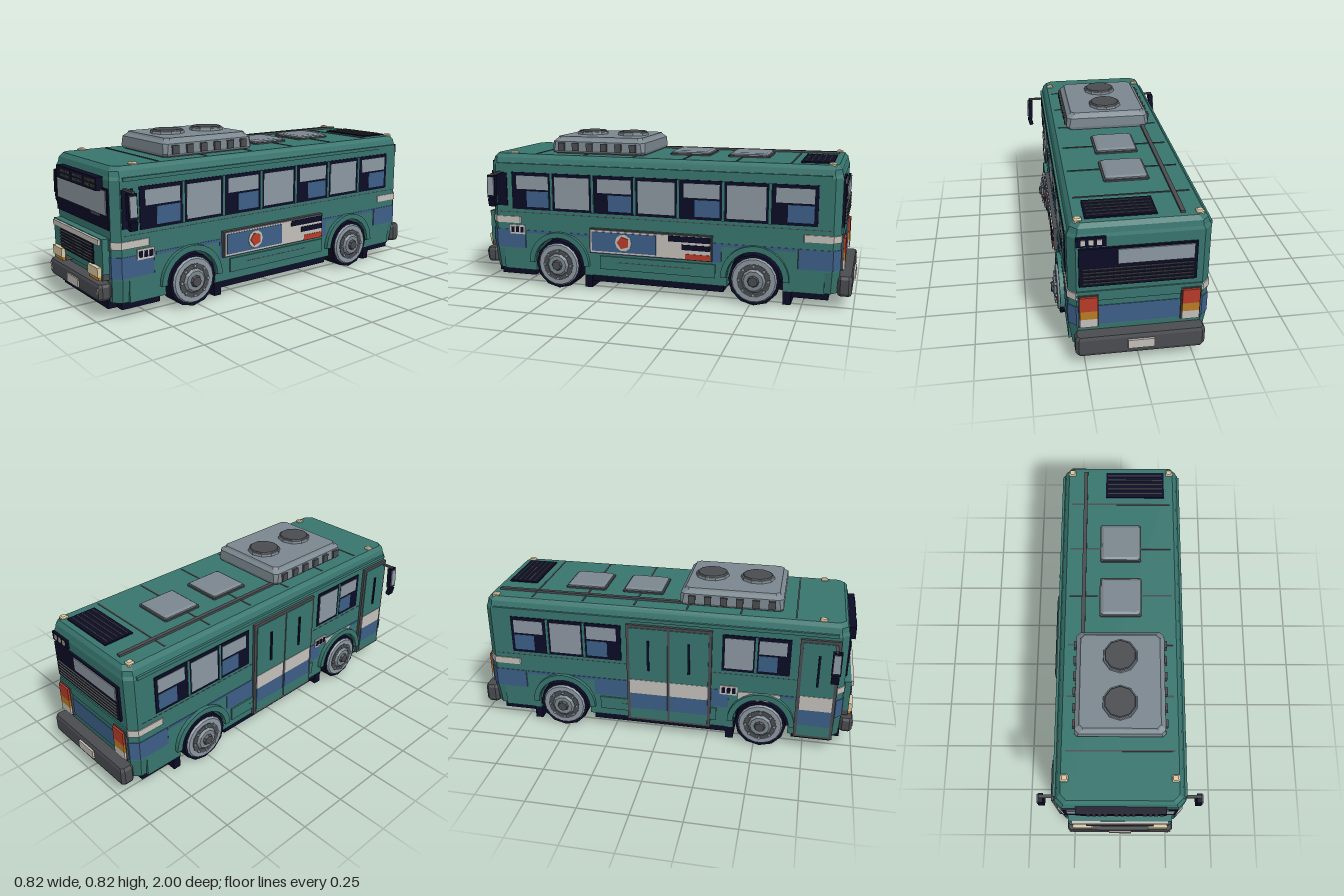
import * as THREE from 'three';

const mat = (name, hex) => {
  const m = new THREE.MeshStandardMaterial({ color: hex });
  m.name = name;
  return m;
};

export function createModel() {
  const green = mat('bus green', 0x38756e), blue = mat('band blue', 0x3d5f88);
  const white = mat('off white', 0xc4c0ba), cream = mat('lamp cream', 0xd8c9a4);
  const amber = mat('amber', 0xb87c24), red = mat('red', 0xb83c2a);
  const navy = mat('navy black', 0x0b0b26), dark = mat('dark grey', 0x4a4c50);
  const glass = mat('pale glass', 0x8c98a1), metal = mat('metal grey', 0x7b878f);

  const bus = new THREE.Group();
  bus.name = 'bus';
  const add = (name, geo, m, x = 0, y = 0, z = 0, parent = bus) => {
    const mesh = new THREE.Mesh(geo, m);
    mesh.name = name;
    mesh.position.set(x, y, z);
    parent.add(mesh);
    return mesh;
  };
  // Box given by its extents on each axis
  const box = (name, m, [x0, x1], [y0, y1], [z0, z1]) =>
    add(name, new THREE.BoxGeometry(Math.abs(x1 - x0), y1 - y0, Math.abs(z1 - z0)), m,
      (x0 + x1) / 2, (y0 + y1) / 2, (z0 + z1) / 2);
  // Thin plate on the side wall s, from z0 to z1; d is how far it stands out
  const sidePlate = (name, m, s, y, z, d = 0.004) => box(name, m, [s * 0.312, s * (0.316 + d)], y, z);
  // Faceted cylinder lying along x
  const disc = (name, m, r1, r2, len, sides, x, y, z, parent) => {
    const g = new THREE.CylinderGeometry(r1, r2, len, sides).toNonIndexed();
    g.computeVertexNormals();
    g.rotateZ(-Math.PI / 2);
    return add(name, g, m, x, y, z, parent);
  };
  // Stack of chamfered rectangles, each ring = [y, halfX, halfZ, chamfer]
  const loft = (name, m, rings, x = 0, z = 0) => {
    const pts = rings.map(([y, a, b, c]) => [[a, c - b], [a, b - c], [a - c, b], [c - a, b],
      [-a, b - c], [-a, c - b], [c - a, -b], [a - c, -b]].map(([u, w]) => [u, y, w]));
    const pos = [];
    const tri = (...t) => t.forEach(p => pos.push(...p));
    for (let r = 0; r < pts.length - 1; r++) {
      for (let i = 0; i < 8; i++) {
        const j = (i + 1) % 8, a = pts[r], b = pts[r + 1];
        tri(a[i], b[i], b[j]);
        tri(a[i], b[j], a[j]);
      }
    }
    const lo = pts[0], hi = pts[pts.length - 1];
    for (let i = 1; i < 7; i++) {
      tri(hi[0], hi[i + 1], hi[i]);
      tri(lo[0], lo[i], lo[i + 1]);
    }
    const g = new THREE.BufferGeometry();
    g.setAttribute('position', new THREE.Float32BufferAttribute(pos, 3));
    g.computeVertexNormals();
    return add(name, g, m, x, 0, z);
  };

  // Upper body and roof
  loft('upperBody', green, [[0.28, 0.316, 0.93, 0.035], [0.65, 0.316, 0.93, 0.035], [0.665, 0.308, 0.925, 0.035],
    [0.69, 0.3, 0.92, 0.03], [0.71, 0.283, 0.905, 0.03]]);
  box('roofGutterLeft', green, [0.3, 0.322], [0.645, 0.662], [-0.88, 0.88]);
  box('roofGutterRight', green, [-0.322, -0.3], [0.645, 0.662], [-0.88, 0.88]);

  // Lower body with wheel arches cut out
  const wheelZ = [0.53, -0.52], wheelY = 0.13;
  const skirt = new THREE.Shape();
  skirt.moveTo(-0.86, 0.08);
  for (const z of [-0.52, 0.53]) {
    skirt.lineTo(z - 0.14, 0.08);
    for (let i = 0; i <= 10; i++) {
      const a = Math.PI * (1 - i / 10);
      skirt.lineTo(z + 0.14 * Math.cos(a), wheelY + 0.145 * Math.sin(a));
    }
    skirt.lineTo(z + 0.14, 0.08);
  }
  skirt.lineTo(0.86, 0.08);
  skirt.lineTo(0.86, 0.285);
  skirt.lineTo(-0.86, 0.285);
  const skirtGeo = new THREE.ExtrudeGeometry(skirt, { depth: 0.632, bevelEnabled: false });
  skirtGeo.rotateY(-Math.PI / 2).translate(0.316, 0, 0);
  add('lowerBody', skirtGeo, green);
  for (const s of [1, -1]) {
    loft(s > 0 ? 'noseLower' : 'tailLower', green, [[0.08, 0.3, 0.11, 0.035], [0.19, 0.316, 0.115, 0.035],
      [0.285, 0.316, 0.115, 0.035]], 0, s * 0.815);
    loft('endBlueBand', blue, [[0.2, 0.319, 0.118, 0.035], [0.3, 0.319, 0.118, 0.035]], 0, s * 0.815);
    loft('endWhiteStripe', white, [[0.337, 0.321, 0.105, 0.035], [0.372, 0.321, 0.105, 0.035]], 0, s * 0.828);
    box('endBandCover', green, [-0.28, 0.28], [0.33, 0.38], [s * 0.9, s * 0.936]);
    // Blue band and rocker panel between the axles
    sidePlate('blueBand', blue, s, [0.2, 0.3], [-0.35, 0.36], 0.003);
    sidePlate('blueBandOverArches', blue, s, [0.285, 0.3], [-0.72, 0.72], 0.003);
    sidePlate('rockerPanel', green, s, [0.12, 0.19], [-0.32, 0.3], 0.008);
    sidePlate('rockerSeam', dark, s, [0.158, 0.162], [-0.2, 0.2], 0.009);
    sidePlate('waistSeam', dark, s, [0.395, 0.398], [-0.88, 0.88], 0.001);
  }
  box('chassis', navy, [-0.2, 0.2], [0.05, 0.275], [-0.86, 0.86]);
  box('floorFront', navy, [-0.29, 0.29], [0.045, 0.085], [0.69, 0.89]);
  box('floorMiddle', navy, [-0.305, 0.305], [0.045, 0.085], [-0.36, 0.37]);
  box('floorRear', navy, [-0.29, 0.29], [0.045, 0.085], [-0.88, -0.68]);

  // Wheels, arch flares and mud flaps
  const flare = new THREE.Shape();
  flare.absarc(0, 0, 0.172, 0, Math.PI, false);
  flare.absarc(0, 0, 0.143, Math.PI, 0, true);
  const flareGeo = new THREE.ExtrudeGeometry(flare, { depth: 0.03, bevelEnabled: false, curveSegments: 8 });
  flareGeo.rotateY(Math.PI / 2).translate(-0.015, 0, 0);
  for (const s of [1, -1]) for (const z of wheelZ) {
    const wheel = new THREE.Group();
    wheel.name = 'wheel';
    wheel.position.set(s * 0.265, wheelY, z);
    if (s < 0) wheel.rotation.y = Math.PI;
    bus.add(wheel);
    disc('tyre', navy, 0.13, 0.13, 0.14, 12, 0, 0, 0, wheel);
    disc('rimRing', glass, 0.108, 0.118, 0.014, 18, 0.073, 0, 0, wheel);
    disc('rimDish', dark, 0.085, 0.085, 0.012, 14, 0.077, 0, 0, wheel);
    disc('hubPlate', metal, 0.05, 0.066, 0.016, 10, 0.086, 0, 0, wheel);
    disc('hubCap', dark, 0.024, 0.032, 0.016, 8, 0.098, 0, 0, wheel);
    for (let i = 0; i < 8; i++) {
      const a = i * Math.PI / 4;
      disc('wheelNut', glass, 0.008, 0.008, 0.01, 6, 0.086, 0.074 * Math.cos(a), 0.074 * Math.sin(a), wheel);
    }
    add('archFlare', flareGeo, green, s * 0.322, wheelY, z);
    box('mudFlap', navy, [s * 0.2, s * 0.31], [0.01, 0.13], [z - 0.18, z - 0.14]);
  }

  // Side windows: alternate plain panes and panes with blinds
  const windowRow = (s, z0, z1, count) => {
    sidePlate('windowFrame', navy, s, [0.415, 0.615], [z0, z1], 0.004);
    const pitch = (z1 - z0) / count;
    for (let i = 0; i < count; i++) {
      const c = z1 - pitch * (i + 0.5), h = pitch * 0.42;
      if (i % 2) sidePlate('windowPane', glass, s, [0.43, 0.597], [c - h, c + h], 0.006);
      else {
        sidePlate('upperPane', glass, s, [0.525, 0.597], [c - h, c + h * 0.9], 0.006);
        sidePlate('seatBehindGlass', blue, s, [0.43, 0.515], [c - h, c + h * 0.3], 0.006);
      }
      if (i) sidePlate('windowPost', green, s, [0.415, 0.615], [c + pitch / 2 - 0.006, c + pitch / 2 + 0.006], 0.007);
    }
  };
  windowRow(1, -0.82, 0.8, 7);
  windowRow(-1, -0.79, -0.2, 3);
  windowRow(-1, 0.32, 0.66, 2);
  sidePlate('driverQuarterWindow', navy, 1, [0.43, 0.61], [0.83, 0.89]);

  // Advertising board on the left side
  const board = (name, m, y, z, d) => sidePlate(name, m, 1, y, z, d);
  board('boardFrame', dark, [0.207, 0.338], [-0.305, 0.35], 0.022);
  board('boardWhite', white, [0.214, 0.331], [-0.298, 0.343], 0.026);
  board('boardBlue', blue, [0.222, 0.324], [-0.015, 0.335], 0.029);
  disc('emblemHalo', white, 0.045, 0.045, 0.004, 10, 0.346, 0.275, 0.16);
  disc('emblem', red, 0.034, 0.034, 0.004, 5, 0.35, 0.275, 0.16);
  board('boardBarTop', navy, [0.3, 0.33], [-0.298, -0.08], 0.029);
  board('boardBarMiddle', navy, [0.26, 0.287], [-0.298, -0.15], 0.029);
  board('boardBarRed', red, [0.21, 0.24], [-0.298, -0.17], 0.029);

  // Small marker plates on both sides
  for (const [s, z] of [[1, 0.775], [-1, 0.36]]) {
    sidePlate('markerPlate', white, s, [0.277, 0.327], [z - 0.045, z + 0.045], 0.006);
    for (let i = -1; i < 2; i++) sidePlate('markerBlock', navy, s, [0.287, 0.317], [z + i * 0.027 - 0.009, z + i * 0.027 + 0.009], 0.009);
  }

  // Doors on the right side
  const door = (z0, z1, leaves) => {
    sidePlate('doorFrame', dark, -1, [0.075, 0.63], [z0, z1], 0.014);
    const w = (z1 - z0 - 0.02) / leaves;
    for (let i = 0; i < leaves; i++) {
      const a = z0 + 0.01 + w * i + 0.006, b = a + w - 0.012;
      sidePlate('doorLeaf', green, -1, [0.09, 0.615], [a, b], 0.018);
      sidePlate('doorBluePanel', blue, -1, [0.15, 0.24], [a, b], 0.02);
      sidePlate('doorWhitePanel', white, -1, [0.24, 0.32], [a, b], 0.02);
      sidePlate('doorHandle', navy, -1, [0.38, 0.55], [(a + b) / 2 - 0.006, (a + b) / 2 + 0.006], 0.024);
    }
  };
  door(-0.17, 0.27, 2);
  door(0.7, 0.895, 1);
  sidePlate('doorSideStripe', white, -1, [0.255, 0.3], [0.41, 0.62], 0.005);

  // Windscreen and destination box
  box('windscreenFrame', navy, [-0.28, 0.28], [0.425, 0.612], [0.92, 0.938]);
  box('windscreen', glass, [-0.26, 0.265], [0.49, 0.603], [0.93, 0.942]);
  box('dashTicket', dark, [0.11, 0.2], [0.475, 0.488], [0.93, 0.942]);
  box('destinationBox', navy, [-0.212, 0.222], [0.598, 0.66], [0.9, 0.962]);
  for (let i = 0; i < 14; i++) for (let j = 0; j < 2; j++) {
    if (i % 5 === 4) continue;
    const x = -0.16 + i * 0.027, y = 0.61 + j * 0.022;
    box('displayDot', dark, [x, x + 0.018], [y, y + 0.016], [0.96, 0.966]);
  }
  // Nose panel with grille
  box('nosePanel', green, [-0.265, 0.265], [0.22, 0.385], [0.92, 0.965]);
  box('noseTrim', white, [-0.247, 0.247], [0.355, 0.382], [0.96, 0.978]);
  box('grille', navy, [-0.178, 0.178], [0.25, 0.35], [0.96, 0.97]);
  for (let i = 0; i < 6; i++) box('grilleSlat', dark, [-0.175, 0.175], [0.262 + i * 0.015, 0.266 + i * 0.015], [0.965, 0.978]);
  for (const s of [1, -1]) {
    box('headlampHousing', dark, [s * 0.14, s * 0.26], [0.19, 0.225], [0.92, 0.965]);
    box('headlamp', cream, [s * 0.147, s * 0.248], [0.207, 0.252], [0.95, 0.985]);
    box('indicator', amber, [s * 0.147, s * 0.245], [0.19, 0.207], [0.95, 0.98]);
    const reflector = box('bumperReflector', white, [s * 0.252, s * 0.262], [0.122, 0.162], [0.99, 0.996]);
    reflector.rotation.z = -s * 0.4;
    // Wing mirrors
    box('mirrorArm', dark, [s * 0.3, s * 0.395], [0.605, 0.615], [0.865, 0.88]);
    box('mirror', navy, [s * 0.378, s * 0.402], [0.485, 0.605], [0.855, 0.9]).rotation.z = s * 0.06;
    box('mirrorFace', glass, [s * 0.402, s * 0.408], [0.5, 0.595], [0.86, 0.895]).rotation.z = s * 0.06;
    box('lowerMirror', navy, [s * 0.382, s * 0.405], [0.44, 0.483], [0.857, 0.895]).rotation.z = -s * 0.25;
  }
  // Bumpers and plates
  loft('frontBumper', dark, [[0.1, 0.27, 0.028, 0.012], [0.115, 0.28, 0.033, 0.015], [0.165, 0.28, 0.033, 0.015],
    [0.178, 0.272, 0.028, 0.012]], 0, 0.96);
  box('frontPlate', white, [-0.06, 0.06], [0.112, 0.155], [0.99, 1]);
  disc('towHook', navy, 0.011, 0.011, 0.02, 8, -0.16, 0.092, 0.965);
  box('frontValance', navy, [-0.24, 0.24], [0.045, 0.09], [0.88, 0.935]);
  loft('rearBumper', dark, [[0.07, 0.285, 0.03, 0.012], [0.085, 0.295, 0.035, 0.015], [0.155, 0.295, 0.035, 0.015],
    [0.17, 0.285, 0.03, 0.012]], 0, -0.955);
  box('rearPlate', white, [-0.06, 0.06], [0.1, 0.145], [-0.99, -1]);

  // Rear window, louvres and lamps
  box('rearWindowFrame', navy, [-0.25, 0.27], [0.41, 0.6], [-0.92, -0.942]);
  box('rearWindow', glass, [-0.235, 0.1], [0.52, 0.592], [-0.93, -0.947]);
  for (let i = 0; i < 5; i++) box('rearLouvre', dark, [-0.235, 0.255], [0.425 + i * 0.018, 0.429 + i * 0.018], [-0.94, -0.95]);
  box('rearSign', navy, [0.15, 0.28], [0.61, 0.655], [-0.92, -0.94]);
  for (let i = 0; i < 3; i++) box('rearSignBlock', white, [0.17 + i * 0.035, 0.19 + i * 0.035], [0.62, 0.645], [-0.935, -0.944]);
  for (const s of [1, -1]) {
    box('tailLampHousing', dark, [s * 0.185, s * 0.275], [0.195, 0.362], [-0.92, -0.942]);
    box('tailLampRed', red, [s * 0.19, s * 0.27], [0.285, 0.357], [-0.93, -0.952]);
    box('tailLampAmber', amber, [s * 0.19, s * 0.27], [0.243, 0.285], [-0.93, -0.952]);
    box('tailLampWhite', white, [s * 0.19, s * 0.27], [0.2, 0.243], [-0.93, -0.952]);
    for (const z of [0.8, -0.875]) loft('roofMarkerLamp', cream, [[0.695, 0.018, 0.018, 0.005], [0.715, 0.018, 0.018, 0.005],
      [0.721, 0.012, 0.012, 0.003]], s * 0.265, z);
  }

  // Roof equipment
  loft('coolerBase', dark, [[0.705, 0.205, 0.25, 0.015], [0.72, 0.205, 0.25, 0.015]], 0, 0.345);
  loft('coolerUnit', metal, [[0.715, 0.215, 0.257, 0.015], [0.728, 0.222, 0.26, 0.015], [0.775, 0.218, 0.257, 0.02],
    [0.79, 0.2, 0.24, 0.02], [0.8, 0.195, 0.235, 0.02]], 0, 0.345);
  for (const s of [1, -1]) for (let i = 0; i < 6; i++) {
    const z = 0.13 + i * 0.08;
    box('coolerVent', dark, [s * 0.21, s * 0.231], [0.727, 0.768], [z, z + 0.035]);
  }
  for (const z of [0.22, 0.455]) {
    disc('fanRim', metal, 0.085, 0.088, 0.014, 10, 0, 0.806, z).rotation.z = Math.PI / 2;
    disc('fan', dark, 0.075, 0.082, 0.012, 10, 0, 0.814, z).rotation.z = Math.PI / 2;
  }
  for (const z of [-0.44, -0.13]) {
    loft('hatchFrame', dark, [[0.705, 0.108, 0.108, 0.008], [0.718, 0.108, 0.108, 0.008]], 0, z);
    loft('hatch', metal, [[0.715, 0.1, 0.1, 0.008], [0.725, 0.1, 0.1, 0.008], [0.732, 0.088, 0.088, 0.008]], 0, z);
  }
  for (let i = 0; i < 6; i++) box('roofSeam', dark, [-0.265, 0.265], [0.705, 0.713], [-0.684 + i * 0.27, -0.676 + i * 0.27]);
  box('roofRail', dark, [-0.2, -0.18], [0.705, 0.721], [-0.88, 0.09]);
  box('roofVent', navy, [-0.08, 0.235], [0.7, 0.717], [-0.875, -0.72]);
  for (let i = 0; i < 5; i++) box('roofVentSlat', dark, [-0.07, 0.225], [0.712, 0.722], [-0.857 + i * 0.028, -0.851 + i * 0.028]);
  return bus;
}
